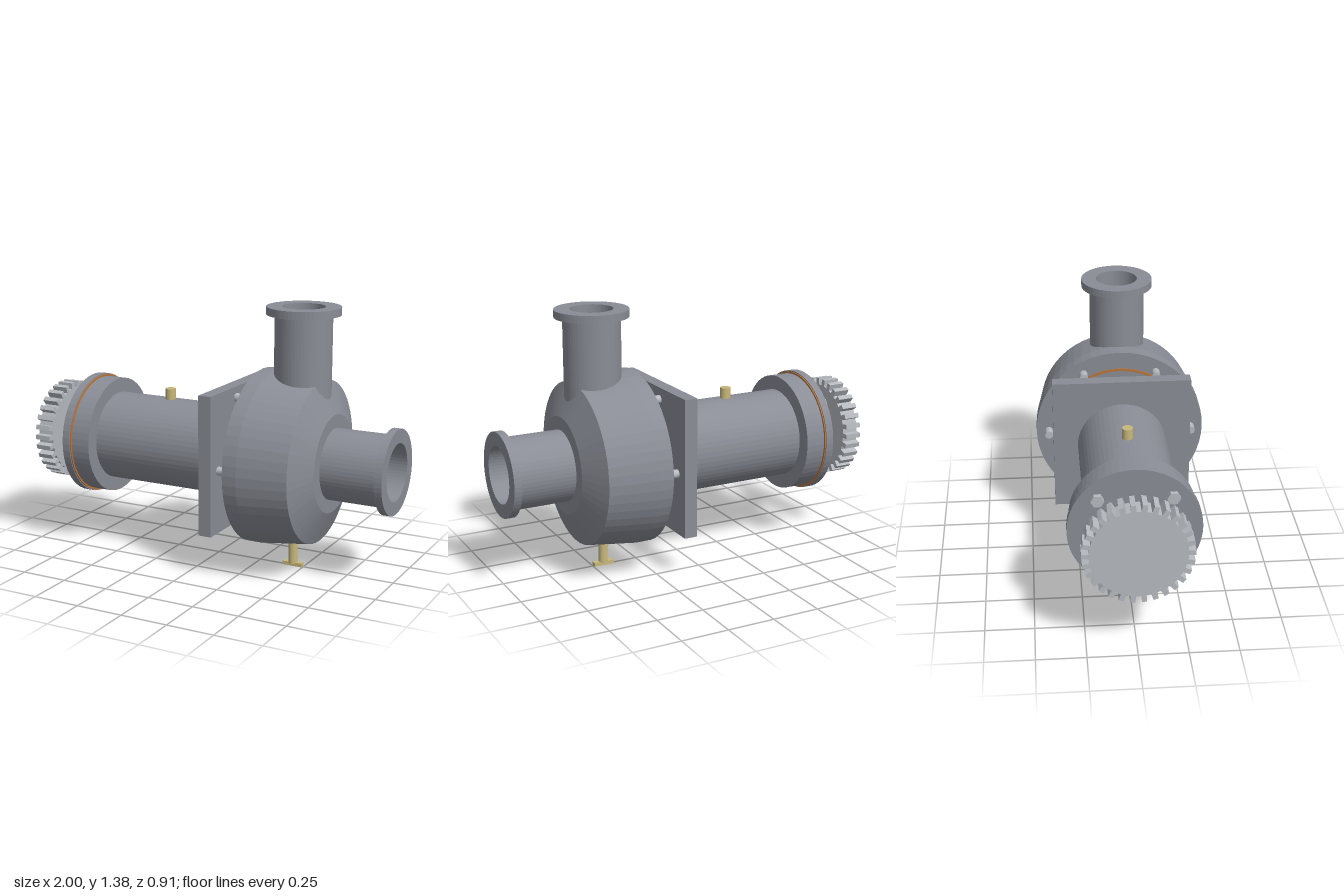
import * as THREE from 'three';

const AXIS = 0.585; // height of the shaft line
const SIDES = 56;

const mat = (name, color) => {
  const m = new THREE.MeshStandardMaterial({ color });
  m.name = name;
  return m;
};

export function createModel() {
  const castIron = mat('cast iron grey', 0x8a8d96);
  const steel = mat('bright steel', 0xb6babf);
  const brass = mat('brass', 0xc8b87c);
  const gasket = mat('gasket orange', 0xb8753a);

  const pump = new THREE.Group();
  pump.name = 'pump';

  const add = (name, geometry, material, x = 0, y = 0, z = 0) => {
    const flat = geometry.index ? geometry.toNonIndexed() : geometry;
    flat.computeVertexNormals();
    const mesh = new THREE.Mesh(flat, material);
    mesh.name = name;
    mesh.position.set(x, y, z);
    pump.add(mesh);
    return mesh;
  };
  const lathe = (points, sides = SIDES) =>
    new THREE.LatheGeometry(points.map(([r, h]) => new THREE.Vector2(r, h)), sides);
  // Turned part along x: points are [radius, x]
  const turned = (name, points, material, sides) =>
    add(name, lathe(points, sides).rotateZ(-Math.PI / 2), material, 0, AXIS, 0);
  const rod = (name, r, x0, x1, material, sides = SIDES) =>
    turned(name, [[0, x0], [r, x0], [r, x1], [0, x1]], material, sides);

  // Drive gear with straight teeth
  const teeth = 30, root = 0.235, tip = 0.27;
  const pitch = (Math.PI * 2) / teeth;
  const outline = [];
  for (let i = 0; i < teeth; i++) {
    for (const [r, a] of [[root, -0.27], [tip, -0.22], [tip, 0.22], [root, 0.27]]) {
      const t = (i + a) * pitch;
      outline.push(new THREE.Vector2(Math.cos(t) * r, Math.sin(t) * r));
    }
  }
  const gear = new THREE.ExtrudeGeometry(new THREE.Shape(outline), { depth: 0.09, bevelEnabled: false });
  add('driveGear', gear.rotateY(Math.PI / 2), steel, -1, AXIS, 0);

  // Shaft
  rod('shaft', 0.072, -0.92, 0.26, steel, 40);

  // Bearing housing: end cover, flange, barrel and mounting plate
  rod('endCover', 0.33, -0.78, -0.737, castIron);
  turned('coverGasket', [[0.3, -0.738], [0.325, -0.738], [0.325, -0.731], [0.3, -0.731]], gasket);
  rod('housingFlange', 0.315, -0.735, -0.625, castIron);
  rod('housingBarrel', 0.238, -0.63, 0.08, castIron);
  add('mountingPlate', new THREE.BoxGeometry(0.07, 0.735, 0.735), castIron, 0.11, AXIS, 0);

  // Volute casing, bored for the inlet
  turned('voluteCasing', [
    [0, 0.255], [0.457, 0.255], [0.457, 0.33], [0.424, 0.59],
    [0.255, 0.66], [0.148, 0.66], [0.148, 0.48],
  ], castIron);
  turned('casingGasket', [[0.35, 0.26], [0.35, 0.251], [0.364, 0.251], [0.364, 0.26]], gasket);

  // Inlet pipe with flange
  turned('inletPipe', [
    [0.185, 0.655], [0.185, 0.96], [0.22, 0.96], [0.22, 1], [0.148, 1], [0.148, 0.655],
  ], castIron);

  // Outlet pipe with flange
  add('outletPipe', lathe([
    [0.147, 0.85], [0.147, 1.34], [0.19, 1.34], [0.19, 1.38], [0.11, 1.38], [0.11, 0.85],
  ]), castIron, 0.48, 0, 0);

  // Impeller at the bottom of the inlet bore
  rod('impellerDisc', 0.149, 0.48, 0.5, brass);
  rod('impellerHub', 0.108, 0.49, 0.515, brass);
  for (let i = 0; i < 6; i++) {
    const vane = new THREE.BoxGeometry(0.05, 0.072, 0.02).translate(0, 0.111, 0);
    add('impellerVane', vane.rotateX((i * Math.PI) / 3), brass, 0.515, AXIS, 0);
  }

  // Casing bolts
  for (let i = 0; i < 6; i++) {
    const a = (i * Math.PI) / 3;
    add('casingBolt', new THREE.CylinderGeometry(0.022, 0.022, 0.06, 16).rotateZ(Math.PI / 2),
      steel, 0.23, AXIS + Math.sin(a) * 0.39, Math.cos(a) * 0.39);
  }

  // Cover bolts: hex head on a short neck
  for (const sy of [-1, 1]) {
    for (const sz of [-1, 1]) {
      const y = AXIS + sy * 0.182, z = sz * 0.182;
      add('coverBoltHead', new THREE.CylinderGeometry(0.033, 0.033, 0.024, 6).rotateZ(Math.PI / 2),
        steel, -0.802, y, z);
      add('coverBoltNeck', new THREE.CylinderGeometry(0.019, 0.019, 0.03, 16).rotateZ(Math.PI / 2),
        steel, -0.782, y, z);
    }
  }

  // Oil filler plug and drain cock
  add('fillerPlug', new THREE.CylinderGeometry(0.028, 0.028, 0.08, 24), brass, -0.295, 0.84, 0);
  add('drainStem', new THREE.CylinderGeometry(0.024, 0.024, 0.15, 24), brass, 0.44, 0.09, 0);
  add('drainHandle', new THREE.BoxGeometry(0.11, 0.02, 0.028), brass, 0.44, 0.01, 0);

  return pump;
}
